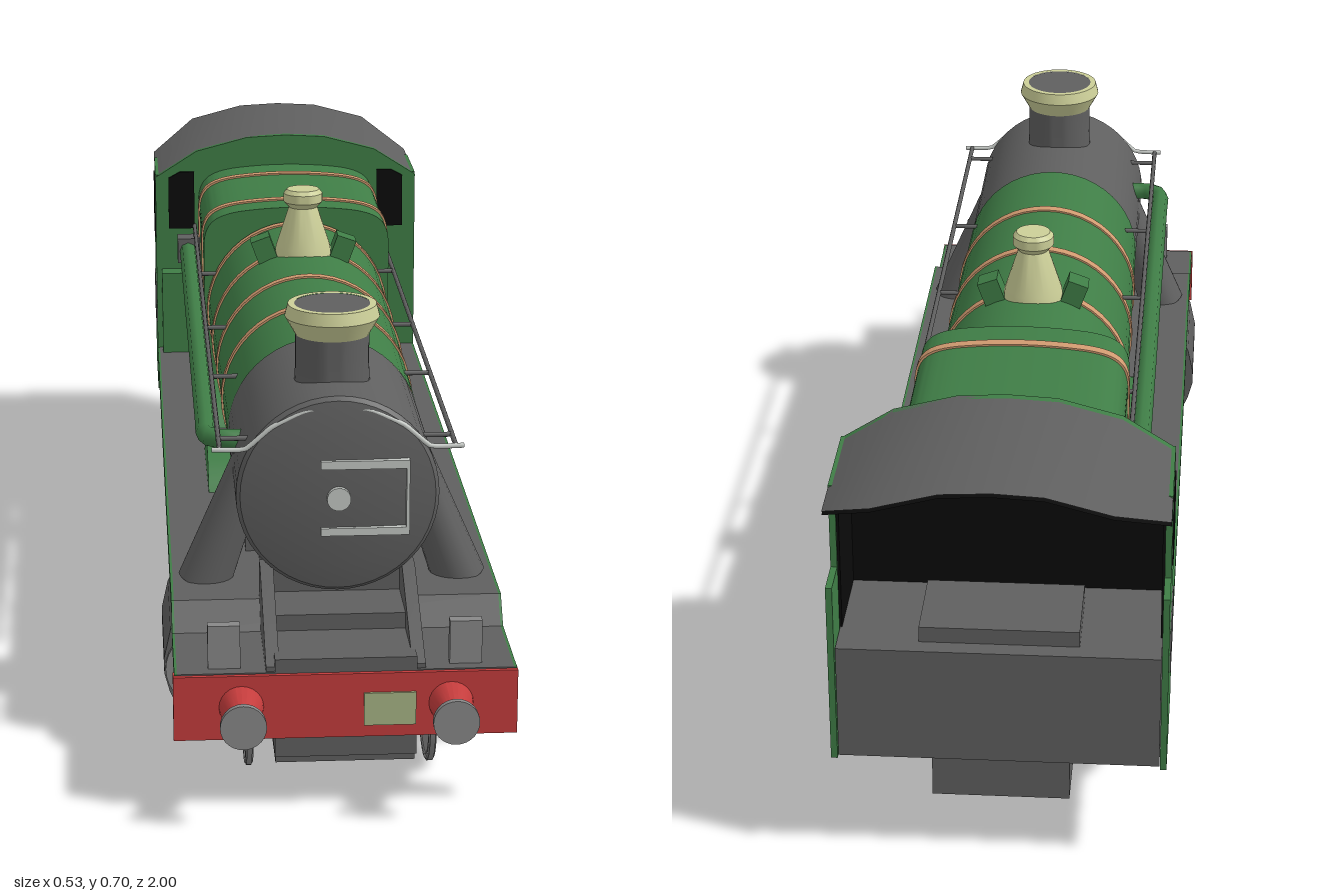
import * as THREE from 'three';
import { toCreasedNormals } from 'three/addons/utils/BufferGeometryUtils.js';

const mat = (name, color, side = THREE.FrontSide) => {
  const m = new THREE.MeshStandardMaterial({ color, side });
  m.name = name;
  return m;
};

export function createModel() {
  const M = {
    green: mat('green paint', 0x3f7d46),
    dark: mat('dark grey iron', 0x5f5f5f, THREE.DoubleSide),
    steel: mat('light grey steel', 0x888888),
    red: mat('red paint', 0xc43c3c),
    cream: mat('cream metal', 0xcccf98),
    plate: mat('pale green plate', 0xa8b585),
    copper: mat('copper band', 0xd09a70),
    black: mat('black', 0x0a0a0a, THREE.DoubleSide),
    white: mat('pale metal', 0xc4c8c4),
  };
  const loco = new THREE.Group();
  loco.name = 'locomotive';
  loco.position.x = 0.004;

  const add = (name, geo, m) => {
    const mesh = new THREE.Mesh(geo, m);
    mesh.name = name;
    loco.add(mesh);
    return mesh;
  };
  // box given by its limits
  const box = (name, m, x0, x1, y0, y1, z0, z1) => add(name,
    new THREE.BoxGeometry(x1 - x0, y1 - y0, z1 - z0).translate((x0 + x1) / 2, (y0 + y1) / 2, (z0 + z1) / 2), m);
  // solid of revolution: [radius, position] along y, or along z
  const lathe = (name, m, pts, x, y, z, alongZ = false, seg = 40) => {
    let g = toCreasedNormals(new THREE.LatheGeometry(pts.map((p) => new THREE.Vector2(...p)), seg), 0.5);
    if (alongZ) g = g.rotateX(Math.PI / 2);
    return add(name, g.translate(x, y, z), m);
  };
  const shape = (pts) => new THREE.Shape(pts.map((p) => new THREE.Vector2(...p)));
  // outline in x,y pushed along z
  const slabZ = (name, m, s, z0, z1) => add(name, toCreasedNormals(
    new THREE.ExtrudeGeometry(s, { depth: z1 - z0, bevelEnabled: false, curveSegments: 20 }), 0.6).translate(0, 0, z0), m);
  // outline in z,y pushed along x
  const slabX = (name, m, s, x0, x1) => add(name, toCreasedNormals(
    new THREE.ExtrudeGeometry(s, { depth: x1 - x0, bevelEnabled: false, curveSegments: 20 }), 0.6)
    .rotateY(-Math.PI / 2).translate(x1, 0, 0), m);
  // round bar between two points
  const bar = (name, m, a, b, r, r2 = r, seg = 16) => {
    const A = new THREE.Vector3(...a), B = new THREE.Vector3(...b);
    const g = new THREE.CylinderGeometry(r2, r, A.distanceTo(B), seg);
    g.applyQuaternion(new THREE.Quaternion().setFromUnitVectors(new THREE.Vector3(0, 1, 0), B.clone().sub(A).normalize()));
    return add(name, g.translate((A.x + B.x) / 2, (A.y + B.y) / 2, (A.z + B.z) / 2), m);
  };
  const tube = (name, m, pts, r, n = 40) => add(name, new THREE.TubeGeometry(
    new THREE.CatmullRomCurve3(pts.map((p) => new THREE.Vector3(...p)), false, 'catmullrom', 0.2), n, r, 8), m);

  // Smokebox, domed door and its fittings
  lathe('smokebox', M.dark, [[0, 0.41], [0.154, 0.41], [0.154, 0.735], [0.148, 0.742], [0.11, 0.75], [0, 0.757]], 0, 0.434, 0, true, 48);
  lathe('doorBoss', M.white, [[0.018, 0.74], [0.018, 0.764], [0, 0.764]], 0, 0.434, 0, true, 24);
  box('doorBarTop', M.white, -0.027, 0.107, 0.48, 0.493, 0.745, 0.76);
  box('doorBarBottom', M.white, -0.027, 0.107, 0.375, 0.387, 0.745, 0.76);
  box('doorBarSide', M.white, 0.102, 0.107, 0.375, 0.493, 0.745, 0.76);
  tube('frontHandrail', M.white, [[-0.19, 0.507, 0.735], [-0.14, 0.508, 0.738], [-0.1, 0.542, 0.74], [-0.045, 0.567, 0.74],
    [0.045, 0.567, 0.74], [0.1, 0.542, 0.74], [0.14, 0.508, 0.738], [0.19, 0.507, 0.735]], 0.004);

  // Tapered boiler with bands
  const boilerR = (z) => 0.154 + (0.42 - z) * 0.012;
  lathe('boiler', M.green, [[boilerR(-0.34), -0.34], [boilerR(0.42), 0.42]], 0, 0.436, 0, true, 48);
  for (const z of [0.238, 0.056, -0.12, -0.31]) {
    const r = boilerR(z) + 0.003;
    lathe('boilerBand', M.copper, [[r - 0.005, z - 0.009], [r, z - 0.009], [r, z + 0.009], [r - 0.005, z + 0.009]], 0, 0.436, 0, true, 48);
  }

  // Square-shouldered firebox with bands
  const firebox = (o) => {
    const s = new THREE.Shape();
    s.moveTo(-0.168 - o, 0.3);
    s.lineTo(0.168 + o, 0.3);
    s.lineTo(0.17 + o, 0.55);
    s.bezierCurveTo(0.17 + o, 0.595 + o, 0.155 + o, 0.612 + o, 0.1, 0.62 + o);
    s.quadraticCurveTo(0, 0.632 + o, -0.1, 0.62 + o);
    s.bezierCurveTo(-0.155 - o, 0.612 + o, -0.17 - o, 0.595 + o, -0.17 - o, 0.55);
    return s;
  };
  slabZ('firebox', M.green, firebox(0), -0.69, -0.325);
  for (const z of [-0.39, -0.605]) slabZ('fireboxBand', M.copper, firebox(0.003), z - 0.009, z + 0.009);

  // Chimney
  lathe('chimney', M.dark, [[0.06, 0.54], [0.057, 0.6], [0.057, 0.655]], 0, 0, 0.605);
  lathe('chimneyCap', M.cream, [[0.057, 0.65], [0.073, 0.678], [0.068, 0.697], [0.058, 0.697]], 0, 0, 0.605);
  lathe('chimneyMouth', M.dark, [[0.0585, 0.69], [0.0585, 0.6965], [0, 0.6965]], 0, 0, 0.605);

  // Safety valve with feed boxes
  lathe('safetyValve', M.cream, [[0.052, 0.575], [0.048, 0.605], [0.025, 0.675], [0.034, 0.685], [0.034, 0.7], [0.028, 0.707], [0, 0.707]], 0, 0, -0.125, false, 28);
  for (const s of [-1, 1]) {
    const b = add('feedBox', new THREE.BoxGeometry(0.035, 0.05, 0.04), M.green);
    b.position.set(s * 0.068, 0.597, -0.125);
    b.rotation.z = -s * 0.35;
  }

  // Running plate with green edges, frames and saddle
  const edge = shape([[-0.69, 0.235], [0.7, 0.235], [0.735, 0.2], [0.915, 0.2], [0.915, 0.22], [0.75, 0.22], [0.715, 0.26], [-0.69, 0.26]]);
  slabX('runningPlate', M.dark, edge, -0.249, 0.249);
  for (const s of [-1, 1]) slabX('plateEdge', M.green, edge, s * 0.251 - 0.002, s * 0.251 + 0.002);
  box('frame', M.dark, -0.105, 0.105, 0.085, 0.24, -0.865, 0.915);
  box('frontFrame', M.dark, -0.104, 0.104, 0.07, 0.2, 0.52, 0.9);
  box('boilerCradle', M.dark, -0.13, 0.13, 0.25, 0.316, -0.69, 0.5);
  box('saddle', M.dark, -0.11, 0.11, 0.25, 0.36, 0.48, 0.7);
  box('frontStep', M.dark, -0.1, 0.1, 0.215, 0.265, 0.7, 0.8);

  // Front beam
  box('frontBeam', M.red, -0.255, 0.254, 0.118, 0.218, 0.9, 0.922);
  box('beamPlate', M.plate, 0.026, 0.103, 0.137, 0.188, 0.918, 0.926);

  for (const s of [-1, 1]) {
    // Bumpers and lamp brackets
    lathe('bumperHousing', M.red, [[0.034, 0.915], [0.032, 0.93], [0.02, 0.975], [0, 0.975]], s * 0.155, 0.169, 0, true, 24);
    bar('bumperStem', M.dark, [s * 0.155, 0.169, 0.97], [s * 0.155, 0.169, 0.993], 0.011);
    bar('bumperHead', M.steel, [s * 0.155, 0.169, 0.99], [s * 0.155, 0.169, 1], 0.034, 0.034, 28);
    box('lampBracket', M.steel, s * 0.179 - 0.024, s * 0.179 + 0.024, 0.215, 0.287, 0.878, 0.896);
    // Front stays
    slabX('frontStay', M.dark, shape([[0.7, 0.21], [0.91, 0.21], [0.91, 0.227], [0.735, 0.318], [0.7, 0.318]]), s * 0.108 - 0.01, s * 0.108 + 0.01);
    // Cylinders and steam pipes
    slabZ('cylinder', M.dark, shape([[s * 0.1, 0.235], [s * 0.24, 0.235], [s * 0.255, 0.205], [s * 0.265, 0.16],
      [s * 0.265, 0.135], [s * 0.257, 0.105], [s * 0.246, 0.08], [s * 0.1, 0.08]]), 0.48, 0.7);
    bar('cylinderCover', M.steel, [s * 0.2, 0.144, 0.698], [s * 0.2, 0.144, 0.708], 0.063, 0.063, 32);
    bar('steamPipe', M.dark, [s * 0.2, 0.25, 0.605], [s * 0.125, 0.45, 0.605], 0.042, 0.03, 20);
    // Slide bar, connecting and coupling rods
    const wx = s > 0 ? 0.171 : -0.14;
    box('slideBar', M.steel, s * 0.19 - 0.006, s * 0.19 + 0.006, 0.165, 0.18, 0.2, 0.48);
    bar('pistonRod', M.steel, [s * 0.19, 0.15, 0.48], [s * 0.19, 0.145, 0.25], 0.007);
    bar('connectingRod', M.steel, [s * 0.19, 0.155, 0.3], [s * 0.19, 0.125, -0.27], 0.009);
    const rx = wx + s * 0.012;
    box('couplingRod', M.steel, rx - 0.005, rx + 0.005, 0.118, 0.133, -0.62, 0.105);
    // Wheels: plain disc with a raised rim
    const wheel = (x, z, y, r, hub) => {
      bar('wheelDisc', M.steel, [x - 0.004, y, z], [x + 0.004, y, z], r, r, 36);
      add('wheelRim', new THREE.TorusGeometry(r - 0.007, 0.007, 6, 36).rotateY(Math.PI / 2).translate(x, y, z), M.steel);
      bar('wheelHub', hub, [x - 0.012, y, z], [x + 0.012, y, z], 0.013);
    };
    for (const z of [0.74, 0.38]) wheel(s * 0.139, z, 0.096, 0.092, M.dark);
    for (const z of [0.09, -0.27, -0.605]) wheel(wx, z, 0.124, 0.121, M.steel);
    // Splashers, the middle one with a cream rim
    for (const z of [0.09, -0.27, -0.605]) {
      const arc = new THREE.Shape();
      arc.absarc(z, 0.172, 0.148, 0.63, Math.PI - 0.63, false);
      slabX('splasher', M.green, arc, s > 0 ? 0.1 : -0.18, s > 0 ? 0.18 : -0.1);
    }
    const rim = new THREE.Shape();
    rim.absarc(-0.27, 0.172, 0.168, 0.9, Math.PI - 0.9, false);
    rim.absarc(-0.27, 0.172, 0.138, Math.PI - 0.9, 0.9, true);
    slabX('splasherRim', M.cream, rim, s * 0.179 - 0.005, s * 0.179 + 0.005);
    // Side handrail with posts
    bar('sideHandrail', M.dark, [s * 0.178, 0.507, 0.735], [s * 0.178, 0.507, -0.69], 0.004, 0.004, 8);
    for (const z of [0.68, 0.35, 0.056, -0.31, -0.6]) bar('handrailPost', M.dark, [s * 0.13, 0.507, z], [s * 0.178, 0.507, z], 0.004, 0.004, 8);
    // Cab side with window, plate and black lining
    const side = shape([[-0.69, 0.175], [-0.912, 0.175], [-0.912, 0.47], [-0.848, 0.47], [-0.848, 0.607], [-0.69, 0.607]]);
    slabX('cabSide', M.green, side, s * 0.248 - 0.005, s * 0.248 + 0.005);
    slabX('cabLining', M.black, shape([[-0.7, 0.36], [-0.845, 0.36], [-0.845, 0.605], [-0.7, 0.605]]), s * 0.241 - 0.002, s * 0.241 + 0.002);
    box('sideWindow', M.black, s * 0.253 - 0.002, s * 0.253 + 0.002, 0.475, 0.587, -0.82, -0.73);
    box('sidePlate', M.dark, s * 0.253 - 0.002, s * 0.253 + 0.002, 0.305, 0.38, -0.845, -0.715);
    // Front cab window
    slabZ('frontWindow', M.black, shape([[s * 0.228, 0.502], [s * 0.178, 0.502], [s * 0.178, 0.614], [s * 0.206, 0.614], [s * 0.228, 0.602]]), -0.69, -0.682);
  }
  for (const z of [0.74, 0.38]) bar('bogieAxle', M.dark, [-0.155, 0.096, z], [0.16, 0.096, z], 0.009);
  for (const z of [0.09, -0.27, -0.605]) bar('drivingAxle', M.dark, [-0.14, 0.124, z], [0.171, 0.124, z], 0.012);

  // Cab front wall, black on the inside
  const half = [[0.253, 0.603], [0.173, 0.654], [0.075, 0.68], [0, 0.684]];
  const roofLine = [...half, ...half.slice(0, 3).reverse().map(([x, y]) => [-x, y])];
  slabZ('cabFront', M.green, shape([[-0.253, 0.2], [0.253, 0.2], ...roofLine]), -0.7, -0.687);
  slabZ('cabFrontLining', M.black, shape([[-0.243, 0.36], [0.243, 0.36], ...roofLine.map(([x, y]) => [x * 0.96, y - 0.006])]), -0.705, -0.7);

  // Arched roof with cut rear corners, black underneath
  const roofSheet = (name, m, drop) => {
    const g = new THREE.PlaneGeometry(1, 1, roofLine.length - 1, 1);
    [...roofLine].reverse().forEach(([x, y], i) => {
      g.attributes.position.setXYZ(i, x, y - drop, Math.abs(x) > 0.2 ? -0.92 : -1);
      g.attributes.position.setXYZ(i + roofLine.length, x, y - drop, -0.69);
    });
    g.computeVertexNormals();
    add(name, g, m);
  };
  roofSheet('roof', M.dark, 0);
  roofSheet('roofLining', M.black, 0.006);

  // Cab floor block and step
  box('cabFloor', M.dark, -0.242, 0.242, 0.178, 0.365, -0.908, -0.7);
  box('cabFloorStep', M.dark, -0.12, 0.12, 0.365, 0.39, -0.88, -0.74);

  // Feed pipe and boxes along the model's right
  tube('feedPipe', M.green, [[-0.13, 0.481, 0.602], [-0.17, 0.481, 0.602], [-0.193, 0.481, 0.58], [-0.193, 0.481, 0.5],
    [-0.193, 0.481, 0], [-0.193, 0.481, -0.6]], 0.016, 60);
  box('pipeJoint', M.dark, -0.213, -0.17, 0.457, 0.505, -0.625, -0.585);
  box('cabFrontBox', M.green, -0.243, -0.19, 0.26, 0.42, -0.69, -0.65);

  const root = new THREE.Group();
  root.name = 'steamLocomotive';
  root.add(loco);
  return root;
}
